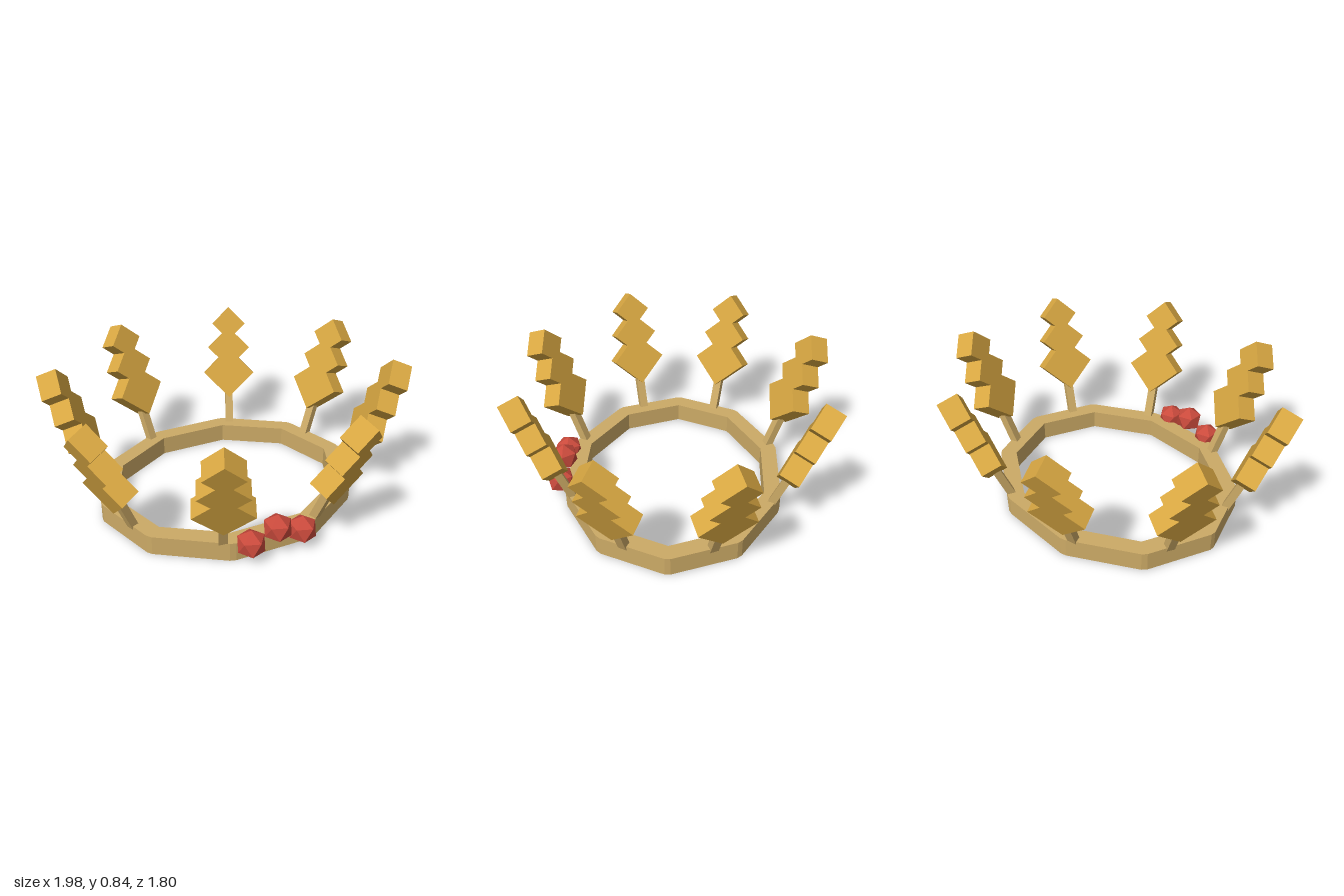
import * as THREE from 'three';

const tan = new THREE.MeshStandardMaterial({ name: 'paleGold', color: 0xccaa66 });
const gold = new THREE.MeshStandardMaterial({ name: 'leafGold', color: 0xd8a742 });
const red = new THREE.MeshStandardMaterial({ name: 'berryRed', color: 0xc94a3c });

function addMesh(parent, name, geometry, material) {
  const mesh = new THREE.Mesh(geometry, material);
  mesh.name = name;
  parent.add(mesh);
  return mesh;
}

// Ten points on an ellipse
function decagon(rx, rz) {
  return Array.from({ length: 10 }, (_, i) => {
    const a = (i / 10) * Math.PI * 2;
    return new THREE.Vector2(Math.cos(a) * rx, Math.sin(a) * rz);
  });
}

// Ten-sided oval ring with slightly cut outer corners
function bandGeometry() {
  const corners = decagon(0.783, 0.663);
  const outer = corners.flatMap((p, i) => [
    p.clone().lerp(corners[(i + 9) % 10], 0.04),
    p.clone().lerp(corners[(i + 1) % 10], 0.04),
  ]);
  const shape = new THREE.Shape(outer);
  shape.holes.push(new THREE.Path(decagon(0.68, 0.563).reverse()));
  const geo = new THREE.ExtrudeGeometry(shape, { depth: 0.115, bevelEnabled: false });
  return geo.rotateX(-Math.PI / 2);
}

// Leaf outline: three stacked diamonds [centre height, half diagonal]
function leafGeometry() {
  const diamonds = [[0.343, 0.163], [0.51, 0.134], [0.667, 0.107]];
  const right = [];
  diamonds.forEach(([s, h], i) => {
    right.push([h, s]);
    if (i < 2) {
      const [s2, h2] = diamonds[i + 1];
      const y = (h - h2 + s + s2) / 2;
      right.push([h + s - y, y]);
    }
  });
  const left = right.map(([x, y]) => [-x, y]).reverse();
  const points = [[0, 0.18], ...right, [0, 0.774], ...left];
  const shape = new THREE.Shape(points.map(([x, y]) => new THREE.Vector2(x, y)));
  const depth = 0.12;
  return new THREE.ExtrudeGeometry(shape, { depth, bevelEnabled: false }).translate(0, 0, -depth / 2);
}

export function createModel() {
  const model = new THREE.Group();
  model.name = 'leafCrown';

  addMesh(model, 'band', bandGeometry(), tan);

  // Eight sprigs leaning outwards
  const leaf = leafGeometry();
  const stem = new THREE.BoxGeometry(0.05, 0.26, 0.045).translate(0, 0.12, 0);
  for (let i = 0; i < 8; i++) {
    const a = ((i + 0.5) / 8) * Math.PI * 2;
    const sprig = new THREE.Group();
    sprig.name = 'sprig' + (i + 1);
    sprig.position.set(Math.cos(a) * 0.725, 0.1, Math.sin(a) * 0.625);
    sprig.rotation.set(0.38, Math.PI / 2 - a, 0, 'YXZ');
    addMesh(sprig, 'stem', stem, tan);
    addMesh(sprig, 'leaf', leaf, gold);
    model.add(sprig);
  }

  // Three faceted berries on the front, each with a corner pointing up
  const berry = new THREE.IcosahedronGeometry(0.085, 0)
    .rotateZ(-Math.atan(2 / (1 + Math.sqrt(5))));
  for (const [x, y] of [[-0.155, 0.12], [0, 0.176], [0.152, 0.12]]) {
    addMesh(model, 'berry', berry, red).position.set(x, y, 0.667);
  }

  return model;
}
